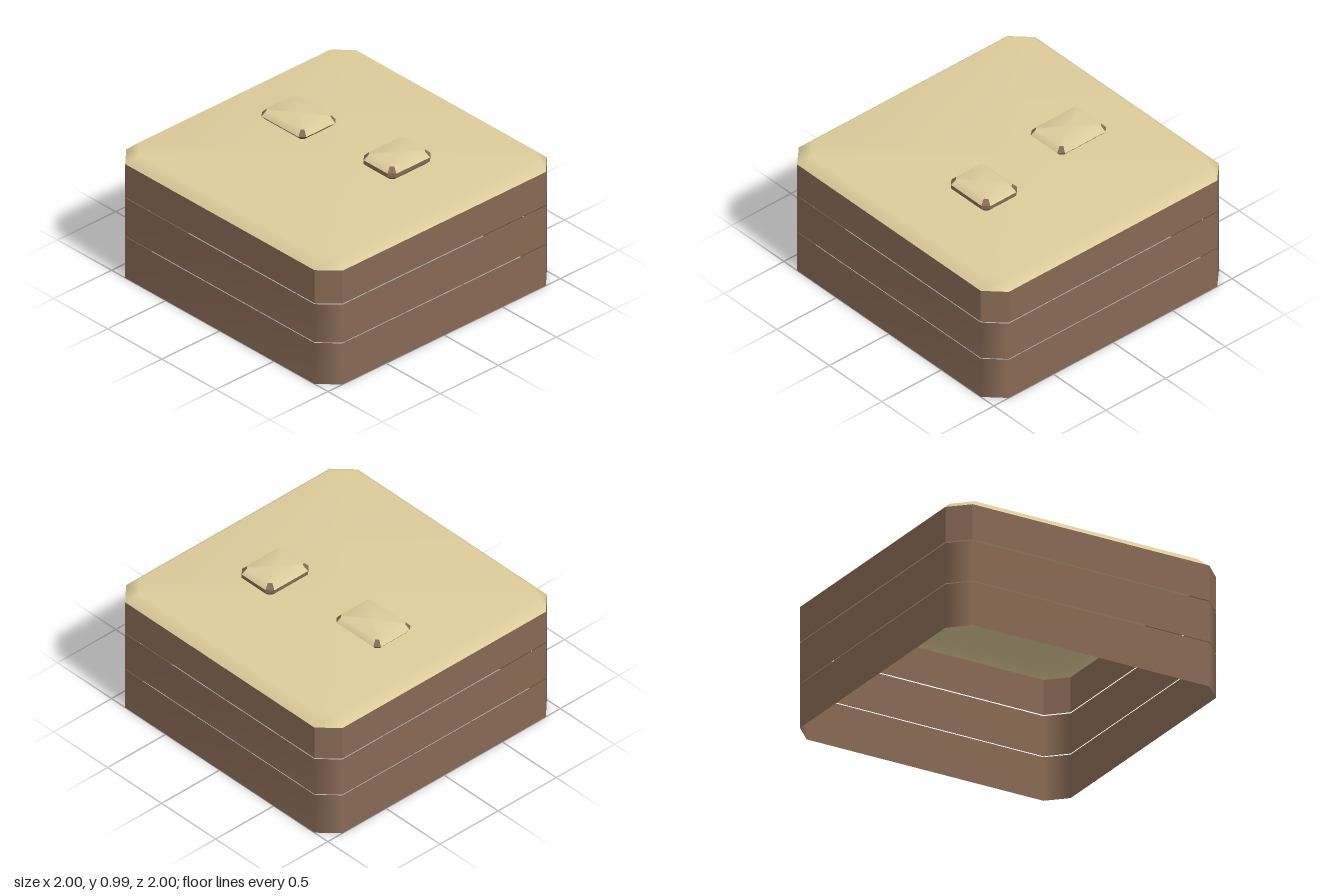
import * as THREE from 'three';

// Rectangle with cut corners, counter-clockwise seen from above
function ring([y, hx, hz, c]) {
  return [
    [hx, hz - c], [hx, c - hz], [hx - c, -hz], [c - hx, -hz],
    [-hx, c - hz], [-hx, hz - c], [c - hx, hz], [hx - c, hz],
  ].map(([x, z]) => [x, y, z]);
}

// Skin between stacked rings; keep(i) picks sides (odd i are the cut corners)
function loft(sections, { cap = false, flat = false, keep = () => true } = {}) {
  const pos = sections.flatMap(s => ring(s).flat());
  const index = [];
  for (let r = 0; r < sections.length - 1; r++) {
    for (let i = 0; i < 8; i++) {
      if (!keep(i)) continue;
      const a = r * 8 + i, b = r * 8 + (i + 1) % 8;
      index.push(a, b, b + 8, a, b + 8, a + 8);
    }
  }
  if (cap) {
    const top = (sections.length - 1) * 8, centre = sections.length * 8;
    pos.push(0, sections[sections.length - 1][0], 0);
    for (let i = 0; i < 8; i++) index.push(centre, top + i, top + (i + 1) % 8);
  }
  let g = new THREE.BufferGeometry();
  g.setAttribute('position', new THREE.Float32BufferAttribute(pos, 3));
  g.setIndex(index);
  if (flat) g = g.toNonIndexed();
  g.computeVertexNormals();
  return g;
}

export function createModel() {
  const sand = new THREE.MeshStandardMaterial({ name: 'sand', color: 0xdccb9a, side: THREE.DoubleSide });
  const earth = new THREE.MeshStandardMaterial({ name: 'earth', color: 0x876a54, side: THREE.DoubleSide });
  const model = new THREE.Group();
  model.name = 'groundBlock';
  const add = (parent, name, geometry, material) => {
    const m = new THREE.Mesh(geometry, material);
    m.name = name;
    parent.add(m);
  };

  // Three hollow wall layers with narrow gaps; the block is open underneath
  [['lowerLayer', 0, 0.303, false], ['middleLayer', 0.309, 0.589, false], ['upperLayer', 0.596, 0.84, true]]
    .forEach(([name, y0, y1, flat]) =>
      add(model, name, loft([[y0, 1, 1, 0.125], [y1, 1, 1, 0.125]], { flat }), earth));

  // Sandy top with bevelled rim
  add(model, 'sandTop', loft([[0.84, 1, 1, 0.125], [0.9, 0.935, 0.935, 0.115]], { cap: true }), sand);

  // Flat stones: earth underside and corners, sandy upper face
  function stone(name, x, z, hx, hz, levels, c) {
    const group = new THREE.Group();
    group.name = name;
    group.position.set(x, 0, z);
    const s = levels.map(([y, inset]) => [y, hx - inset, hz - inset, c - inset * 0.6]);
    const upper = s.slice(-2);
    add(group, name + 'Base', loft(s.slice(0, -1), { flat: true }), earth);
    add(group, name + 'Corners', loft(upper, { flat: true, keep: i => i % 2 === 1 }), earth);
    add(group, name + 'Top', loft(upper, { cap: true, keep: i => i % 2 === 0 }), sand);
    model.add(group);
  }
  stone('wideStone', -0.435, -0.083, 0.205, 0.16, [[0.9, 0.025], [0.928, 0], [0.965, 0.03]], 0.035);
  stone('tallStone', 0.365, -0.185, 0.15, 0.185, [[0.9, 0.03], [0.93, 0], [0.957, 0], [0.99, 0.032]], 0.04);
  return model;
}
